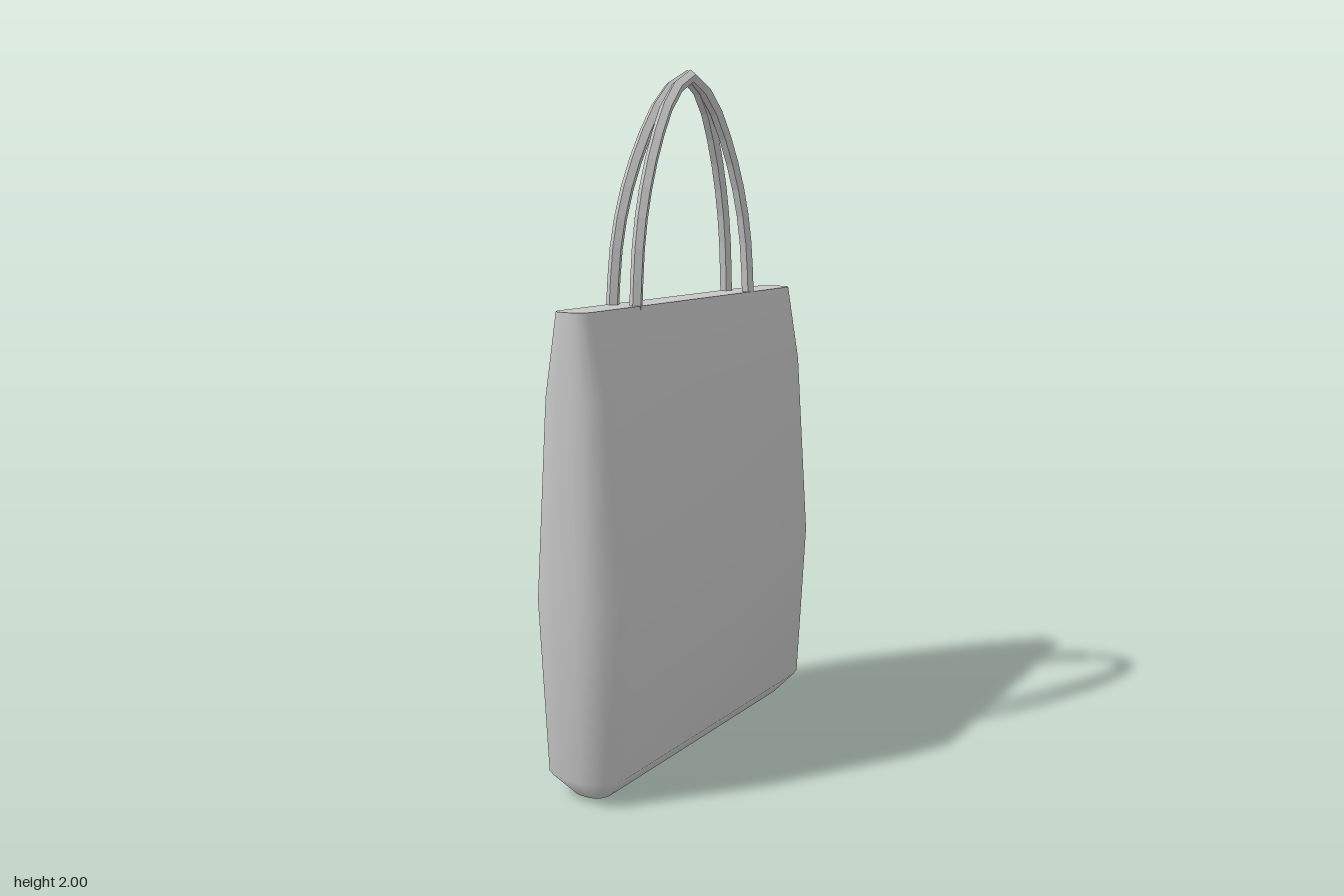
import * as THREE from 'three';

// Skin a list of closed rings (counter-clockwise about the travel direction), with flat end caps.
function loft(rings, flat) {
  const n = rings[0].length, last = rings.length - 1;
  const points = [...rings.flat(), ...rings[0], ...rings[last]];
  const index = [];
  for (let i = 0; i < last; i++) {
    for (let j = 0; j < n; j++) {
      const a = i * n + j, b = i * n + (j + 1) % n;
      index.push(a, b, b + n, a, b + n, a + n);
    }
  }
  const start = rings.length * n, end = start + n;
  for (let j = 1; j < n - 1; j++) {
    index.push(start, start + j + 1, start + j, end, end + j, end + j + 1);
  }
  let geometry = new THREE.BufferGeometry().setFromPoints(points);
  geometry.setIndex(index);
  if (flat) geometry = geometry.toNonIndexed();
  geometry.computeVertexNormals();
  return geometry;
}

// Rounded rectangle at height y, with half sizes hx and hz.
function bagRing([y, hx, hz]) {
  const r = hx * 0.77, steps = 4, ring = [];
  const corners = [[1, 1], [1, -1], [-1, -1], [-1, 1]];
  corners.forEach(([sx, sz], k) => {
    for (let i = 0; i <= steps; i++) {
      const a = (k + i / steps) * Math.PI / 2;
      ring.push(new THREE.Vector3(sx * (hx - r) + r * Math.sin(a), y, sz * (hz - r) + r * Math.cos(a)));
    }
  });
  return ring;
}

// Arched strap; x runs from apexX at the top to footX at both feet.
function strapGeometry(footX, apexX) {
  const half = [[0.31, 1.335], [0.295, 1.5], [0.26, 1.645], [0.185, 1.81], [0.1, 1.925]];
  const place = (z, y) => new THREE.Vector3(apexX + (footX - apexX) * Math.pow(Math.abs(z) / 0.31, 1.4), y, z);
  const curve = new THREE.CatmullRomCurve3([
    ...half.map(([z, y]) => place(-z, y)),
    place(0, 1.981),
    ...half.map(([z, y]) => place(z, y)).reverse(),
  ]);
  const rings = [], segments = 18, sides = 5, radius = 0.019;
  for (let i = 0; i <= segments; i++) {
    const center = curve.getPointAt(i / segments), t = curve.getTangentAt(i / segments);
    const u = new THREE.Vector3(1, 0, 0).addScaledVector(t, -t.x).normalize();
    const v = new THREE.Vector3().crossVectors(t, u);
    rings.push(Array.from({ length: sides }, (_, j) => {
      const a = (j / sides) * Math.PI * 2 + 0.25;
      return center.clone().addScaledVector(u, radius * Math.cos(a)).addScaledVector(v, radius * Math.sin(a));
    }));
  }
  return loft(rings, true);
}

export function createModel() {
  const group = new THREE.Group();
  group.name = 'toteBag';
  const grey = new THREE.MeshStandardMaterial({ color: 0xc6c6c6 });
  grey.name = 'light grey';

  const add = (name, geometry) => {
    const mesh = new THREE.Mesh(geometry, grey);
    mesh.name = name;
    group.add(mesh);
  };

  // Bulging body: height, half thickness, half width
  const sections = [
    [0, 0.055, 0.52], [0.07, 0.12, 0.585], [0.56, 0.146, 0.604], [1.12, 0.102, 0.59], [1.35, 0.054, 0.578],
  ];
  add('bagBody', loft(sections.map(bagRing), false));

  // Pair of straps that lean together at the top
  add('rightStrap', strapGeometry(-0.04, 0.009));
  add('leftStrap', strapGeometry(0.038, 0.02));
  return group;
}
